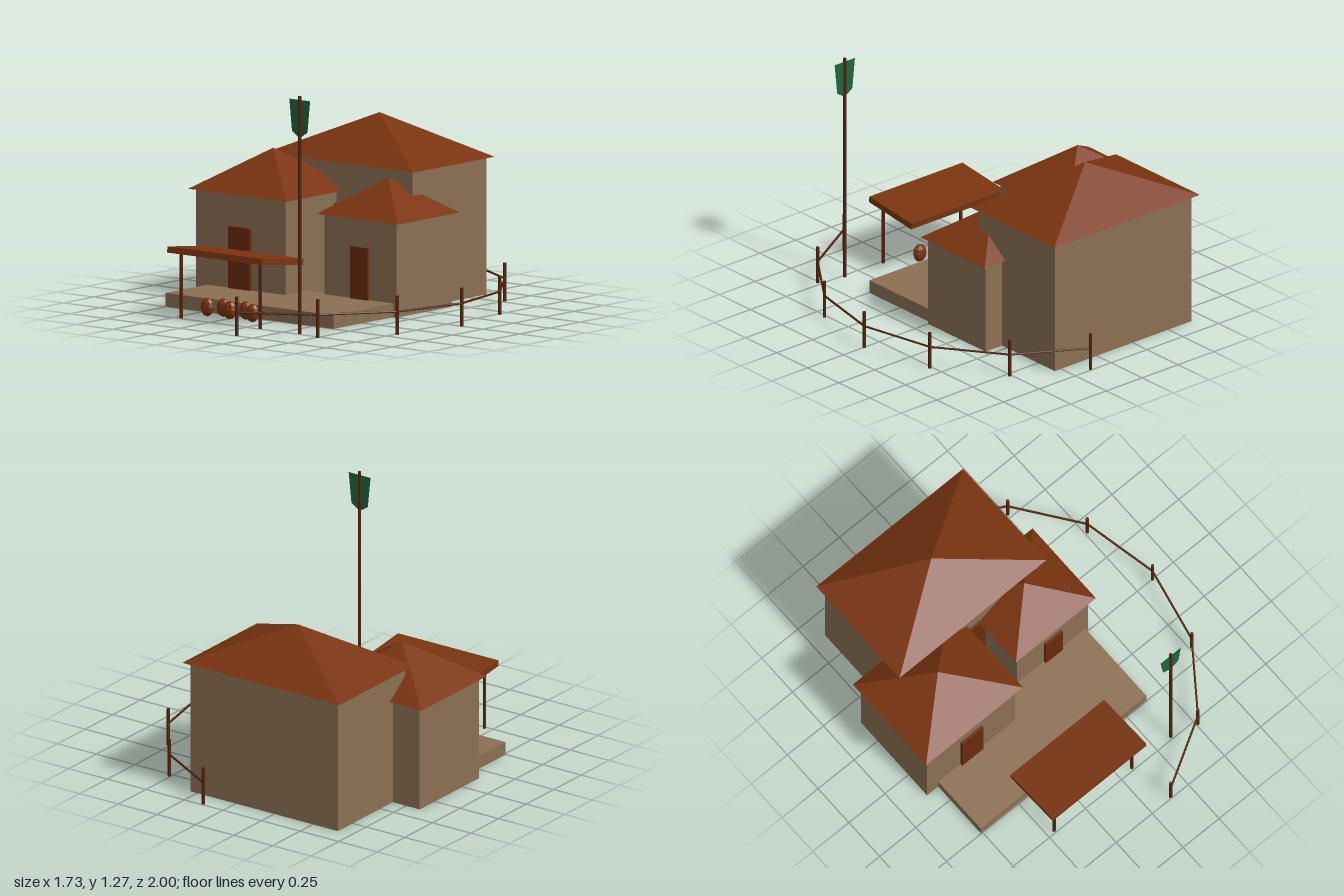
import * as THREE from 'three';

const mat = (name, color, extra = {}) => {
  const m = new THREE.MeshStandardMaterial({ color, ...extra });
  m.name = name;
  return m;
};

export function createModel() {
  const root = new THREE.Group();
  root.name = 'compound';
  const mud = mat('mud wall', 0x8b7053);
  const clay = mat('clay red', 0x7a3410, { flatShading: true });
  const doorWood = mat('door wood', 0x6b2a0c);
  const darkWood = mat('dark wood', 0x52240c);
  const green = mat('banner green', 0x22643a, { side: THREE.DoubleSide });

  const add = (parent, name, geo, material, x = 0, y = 0, z = 0) => {
    const mesh = new THREE.Mesh(geo, material);
    mesh.name = name;
    mesh.position.set(x, y, z);
    parent.add(mesh);
    return mesh;
  };
  // Box given by its lower centre
  const box = (parent, name, w, h, d, material, x, y, z) =>
    add(parent, name, new THREE.BoxGeometry(w, h, d), material, x, y + h / 2, z);
  // Round upright post standing on the ground
  const post = (parent, name, r, h, x, z) =>
    add(parent, name, new THREE.CylinderGeometry(r, r, h, 8), darkWood, x, h / 2, z);
  // Closed four-sided pyramid aligned with the axes
  const pyramid = (w, h, d) => {
    const geo = new THREE.ConeGeometry(Math.SQRT1_2, h, 4);
    geo.rotateY(Math.PI / 4);
    geo.scale(w, 1, d);
    return geo;
  };

  // House: walls, pyramid roof and a door in the middle of the front
  const house = (name, x, z, w, d, wallH, roofW, roofD, roofBase, apex) => {
    const g = new THREE.Group();
    g.name = name;
    g.position.set(x, 0, z);
    root.add(g);
    box(g, 'walls', w, wallH, d, mud, 0, 0, 0);
    const roofH = apex - roofBase;
    add(g, 'roof', pyramid(roofW, roofH, roofD), clay, 0, roofBase + roofH / 2, 0);
    box(g, 'door', w * 0.24, wallH * 0.695, 0.03, doorWood, 0, 0, d / 2);
  };
  house('mainHouse', -0.185, -0.578, 0.955, 0.612, 0.738, 1.018, 0.675, 0.735, 0.963);
  house('rightHouse', -0.532, -0.118, 0.61, 0.538, 0.58, 0.672, 0.595, 0.578, 0.795);
  house('leftHouse', 0.162, -0.23, 0.494, 0.46, 0.505, 0.555, 0.515, 0.503, 0.692);

  // Low terrace in front of the houses
  box(root, 'terrace', 1.148, 0.073, 0.536, mud, -0.186, 0, 0.229);

  // Lean-to shade on two posts
  const shade = add(root, 'shadeRoof', new THREE.BoxGeometry(0.65, 0.033, 0.342), clay, -0.185, 0.347, 0.616);
  shade.rotation.x = -0.12;
  for (const x of [-0.455, 0.085]) post(root, 'shadePost', 0.009, 0.348, x, 0.735);

  // Row of pots, set alternately forward and back
  for (let i = 0; i < 5; i++) {
    const pot = new THREE.SphereGeometry(1, 8, 6);
    pot.scale(0.042, 0.05, 0.028);
    add(root, 'pot', pot, clay, -0.376 + i * 0.077, 0.053, i % 2 ? 0.577 : 0.617);
  }

  // Banner on a tall pole
  post(root, 'bannerPole', 0.0085, 1.27, 0.354, 0.735);
  const banner = new THREE.Shape(
    [[-0.071, 1.25], [-0.053, 1.08], [0, 1.045], [0.053, 1.08], [0.071, 1.25]].map(
      (p) => new THREE.Vector2(...p)
    )
  );
  add(root, 'banner', new THREE.ShapeGeometry(banner), green, 0.354, 0, 0.735);

  // Curved fence: half of the posts, mirrored in z
  const half = [[0.135, 0.99], [0.51, 0.773], [0.765, 0.424]];
  const stakes = [...half, [0.855, 0], ...half.map(([x, z]) => [x, -z]).reverse()];
  const fence = new THREE.Group();
  fence.name = 'fence';
  root.add(fence);
  stakes.forEach(([x, z], i) => {
    post(fence, 'fencePost', 0.009, 0.207, x, z);
    if (!i) return;
    const [px, pz] = stakes[i - 1];
    const length = Math.hypot(x - px, z - pz);
    const rail = new THREE.CylinderGeometry(0.006, 0.006, length, 6);
    rail.rotateX(Math.PI / 2);
    add(fence, 'fenceRail', rail, darkWood, (x + px) / 2, 0.123, (z + pz) / 2).rotation.y =
      Math.atan2(x - px, z - pz);
  });

  return root;
}
